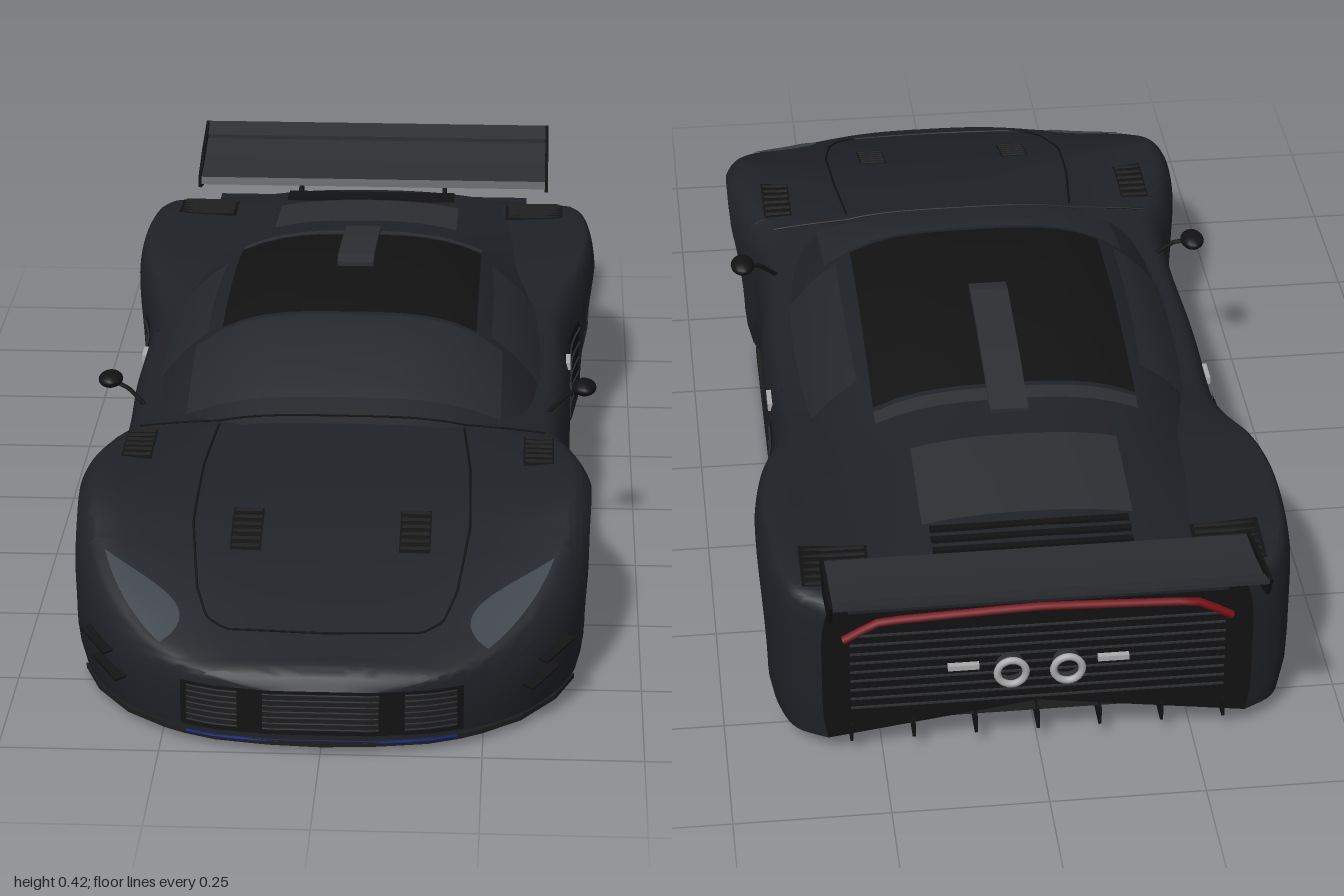
import * as THREE from 'three';
import { toCreasedNormals } from 'three/addons/utils/BufferGeometryUtils.js';

const paint = (color) => new THREE.MeshStandardMaterial({ color, side: THREE.DoubleSide });
const BODY = paint(0x1e2126), BLACK = paint(0x121213), GLASS = paint(0x24282d), GREY = paint(0x2c2e32), FLOOR = paint(0x1d1d1e),
  LAMP = paint(0x3c4349), BLUE = paint(0x14206a), RED = paint(0x7a1018), METAL = paint(0xaaaaaa);
const V = (x, y, z) => new THREE.Vector3(x, y, z);
const clamp01 = (v) => Math.min(1, Math.max(0, v));

// Body stations: z, half width, fender crest height, centre height, crest inset
const HULL = [
  [0.985, 0.08, 0.092, 0.098, 0.1], [0.97, 0.17, 0.112, 0.122, 0.1], [0.93, 0.255, 0.128, 0.14, 0.11],
  [0.88, 0.318, 0.148, 0.159, 0.12], [0.8, 0.374, 0.187, 0.189, 0.11], [0.71, 0.407, 0.232, 0.22, 0.1],
  [0.6, 0.424, 0.28, 0.252, 0.1], [0.5, 0.423, 0.289, 0.272, 0.1], [0.4, 0.403, 0.284, 0.287, 0.11],
  [0.32, 0.38, 0.276, 0.295, 0.12], [0.2, 0.377, 0.268, 0.285, 0.1], [0, 0.385, 0.266, 0.28, 0.1],
  [-0.25, 0.384, 0.272, 0.285, 0.1], [-0.35, 0.397, 0.289, 0.293, 0.09], [-0.45, 0.42, 0.306, 0.297, 0.06],
  [-0.56, 0.432, 0.313, 0.298, 0.05], [-0.7, 0.427, 0.312, 0.298, 0.05], [-0.78, 0.41, 0.305, 0.297, 0.05],
  [-0.815, 0.388, 0.297, 0.297, 0.06], [-0.84, 0.345, 0.287, 0.292, 0.06]];
const TAIL = -0.84, NOSE = 0.985;
// Cabin stations: z, half width, base height, roof height, roundness
const CABIN = [
  [0.36, 0.29, 0.26, 0.296, 3.5], [0.27, 0.325, 0.25, 0.34, 3.5], [0.15, 0.335, 0.25, 0.388, 3.5], [0.05, 0.338, 0.25, 0.404, 3.5],
  [-0.08, 0.338, 0.25, 0.409, 3.5], [-0.2, 0.335, 0.25, 0.403, 3.5], [-0.3, 0.328, 0.26, 0.39, 3.4], [-0.42, 0.32, 0.27, 0.372, 2.9],
  [-0.6, 0.32, 0.28, 0.352, 2.4], [-0.8, 0.31, 0.28, 0.325, 2.4], [-0.85, 0.3, 0.28, 0.312, 2.4]];
const ARCHES = [0.545, -0.556], R = 0.166, HUB = 0.092, WELL = 0.28;

// Smooth interpolation of a station column
function key(T, z, c) {
  let i = 0;
  while (i < T.length - 2 && z < T[i + 1][0]) i++;
  const slope = (k) => {
    const a = T[Math.max(0, k - 1)], b = T[Math.min(T.length - 1, k + 1)];
    return (b[c] - a[c]) / (b[0] - a[0]);
  };
  const h = T[i + 1][0] - T[i][0], t = clamp01((z - T[i][0]) / h), s = t * t * (3 - 2 * t);
  return T[i][c] * (1 - s) + T[i + 1][c] * s + h * (slope(i) * t * (1 - t) ** 2 - slope(i + 1) * t * t * (1 - t));
}
const bottom = (z) => {
  const a = ARCHES.find((c) => Math.abs(z - c) < R);
  if (a !== undefined) return HUB + Math.sqrt(R * R - (z - a) ** 2);
  return z < -0.7 ? 0.032 : 0.018;
};
const side = (z, y) => {
  const q = clamp01((y - key(HULL, z, 2) + 0.08) / 0.08);
  const inset = key(HULL, z, 4) * (1 - Math.sqrt(1 - q * q)) + 0.05 * clamp01((0.1 - y) / 0.1) ** 2;
  return key(HULL, z, 1) * (1 - inset);
};
const crest = (z) => key(HULL, z, 1) * (1 - key(HULL, z, 4));
const deck = (x, z) => {
  const s = clamp01(Math.abs(x) / crest(z)) ** 3;
  return key(HULL, z, 3) * (1 - s) + key(HULL, z, 2) * s;
};
const cabinY = (x, z) => {
  const t = clamp01(Math.abs(x) / key(CABIN, z, 1)), base = key(CABIN, z, 2);
  return base + (key(CABIN, z, 3) - base) * (1 - t ** key(CABIN, z, 4));
};
const topY = (x, z) => Math.max(deck(x, z), z < 0.36 && z > TAIL ? cabinY(x, z) : 0);
const frontZ = (x) => {
  let a = 0.7, b = NOSE;
  for (let i = 0; i < 20; i++) side((a + b) / 2, 0.07) > x ? (a = (a + b) / 2) : (b = (a + b) / 2);
  return a;
};

// Surface through a grid of points given by f(u, v)
function grid(us, vs, f) {
  const pos = [], idx = [], n = vs.length;
  us.forEach((u, i) => vs.forEach((v, j) => {
    pos.push(...f(u, v).toArray());
    if (i && j) {
      const a = (i - 1) * n + j - 1, b = a + n;
      idx.push(a, b, a + 1, b, b + 1, a + 1);
    }
  }));
  const g = new THREE.BufferGeometry();
  g.setAttribute('position', new THREE.Float32BufferAttribute(pos, 3));
  g.setIndex(idx);
  return toCreasedNormals(g, 0.6);
}
const range = (a, b, n) => Array.from({ length: n + 1 }, (_, i) => a + (b - a) * i / n);

export function createModel() {
  const car = new THREE.Group();
  const add = (name, geo, mat = BODY, p = [0, 0, 0], r = [0, 0, 0]) => {
    const m = new THREE.Mesh(geo, mat);
    m.name = name; m.position.set(...p); m.rotation.set(...r);
    car.add(m);
    return m;
  };
  const box = (name, s, p, mat, r) => add(name, new THREE.BoxGeometry(...s), mat, p, r);
  const curve = (pts) => new THREE.CatmullRomCurve3(pts, false, 'catmullrom', 0.1);
  const line = (name, pts, r = 0.002, mat = BLACK) => add(name, new THREE.TubeGeometry(curve(pts), pts.length * 4, r, 5), mat);
  // Seam draped over the upper surface from (x, z) points
  const topSeam = (name, pts) => line(name, curve(pts.map(([x, z]) => V(x, 0, z))).getPoints(50).map((p) => V(p.x, topY(p.x, p.z) + 0.001, p.z)));
  // Patches that follow the upper surface or the flanks
  const topPatch = (name, x0, x1, z0, z1, mat, lift = 0.003) => add(name, grid(range(z0, z1, 12), range(x0, x1, 12),
    (z, x) => V(x, topY(x, z) + lift, z)), mat);
  const sidePatch = (name, s, z0, z1, y0, y1, mat) => add(name, grid(range(z0, z1, 8), range(y0, y1, 6),
    (z, y) => V(s * (side(z, y) + 0.003), y, z)), mat);
  // Side outline (z, y) extruded across x
  const across = (name, pts, width, cx, mat) => {
    const g = new THREE.ExtrudeGeometry(new THREE.Shape(pts.map((p) => new THREE.Vector2(...p))), { depth: width, bevelEnabled: false });
    return add(name, g.rotateY(-Math.PI / 2).translate(cx + width / 2, 0, 0), mat);
  };

  // Main shell with wheel openings
  const rows = range(NOSE, TAIL, 74).concat(range(0.98, 0.93, 8), range(-0.8, -0.835, 4));
  for (const c of ARCHES) {
    for (const a of range(0, Math.PI, 24)) rows.push(c + R * Math.cos(a) * 0.9999);
    rows.push(c + R + 0.0005, c - R - 0.0005);
  }
  rows.sort((a, b) => b - a);
  const section = (z, j) => {
    const k = Math.abs(j), s = Math.sign(j);
    if (k <= 10) { const x = crest(z) * k / 10; return V(s * x, deck(x, z), z); }
    const b = bottom(z), y = b + (key(HULL, z, 2) - b) * Math.cos((k - 10) / 10 * Math.PI / 2);
    return V(s * side(z, y), y, z);
  };
  const js = range(-20, 20, 40);
  add('bodyShell', grid(rows, js, section));
  for (const [name, z, mat] of [['noseFace', NOSE, BODY], ['tailFace', TAIL, BLACK]])
    add(name, grid([0, 1], js, (u, j) => V(0, 0.08, z).lerp(section(z, j), u)), mat);

  // Cabin running back into the engine cover, glass and roof
  add('cabin', grid(range(0.36, -0.85, 50), range(-1, 1, 40), (z, u) => {
    const x = Math.sin(u * Math.PI / 2) * key(CABIN, z, 1);
    return V(x, cabinY(x, z), z);
  }));
  topPatch('windshield', -0.265, 0.265, 0.31, 0.11, GLASS);
  topPatch('roofPanel', -0.22, 0.22, 0.1, -0.37, BLACK);
  topPatch('rearBulkhead', -0.22, 0.22, -0.38, -0.41, GREY);
  topPatch('engineWindow', -0.17, 0.17, -0.5, -0.69, GREY);
  for (const z of [-0.715, -0.74, -0.765]) box('engineLouver', [0.32, 0.006, 0.012], [0, topY(0.1, z) + 0.004, z], BLACK);
  across('roofScoop', [[-0.11, 0.405], [-0.11, 0.419], [-0.14, 0.424], [-0.3, 0.403], [-0.44, 0.376], [-0.44, 0.36]], 0.064, 0, GREY);

  // Hood seams
  const hood = [[0.205, 0.36], [0.218, 0.5], [0.222, 0.66], [0.205, 0.8], [0.185, 0.86], [0.15, 0.885]];
  topSeam('hoodSeam', [...hood.map(([x, z]) => [-x, z]), [0, 0.892], ...hood.reverse()]);
  topSeam('cowlSeam', range(-0.34, 0.34, 12).map((x) => [x, 0.345]));

  // Nose intake with grilles, splitter
  const nosePanel = (name, x0, x1, y0, y1, d, mat) => add(name, grid(range(x0, x1, 16), [y0, y1],
    (x, y) => V(x, y, frontZ(Math.abs(x)) + d)), mat);
  nosePanel('intakeSurround', -0.22, 0.22, 0.026, 0.1, 0.002, BLACK);
  for (const [x0, x1] of [[-0.09, 0.09], [0.13, 0.21], [-0.21, -0.13]]) {
    nosePanel('grille', x0, x1, 0.034, 0.096, 0.004, FLOOR);
    for (const y of range(0.036, 0.094, 6)) line('grilleBar', range(x0, x1, 8).map((x) => V(x, y, frontZ(Math.abs(x)) + 0.004)), 0.0014, GREY);
  }
  const lipZ = [0.985, 0.98, 0.97, 0.95, 0.93, 0.88, 0.8, 0.72];
  const lip = [...lipZ.map((z) => [key(HULL, z, 1) * 0.97, z]).reverse(), [0, 0.99], ...lipZ.map((z) => [-key(HULL, z, 1) * 0.97, z])];
  const lipShape = new THREE.Shape(lip.map(([x, z]) => new THREE.Vector2(x, -z - 0.01)));
  add('frontSplitter', new THREE.ExtrudeGeometry(lipShape, { depth: 0.008, bevelEnabled: false }).rotateX(-Math.PI / 2), FLOOR, [0, 0.012, 0]);
  line('splitterTrim', range(-0.21, 0.21, 12).map((x) => V(x, 0.018, frontZ(Math.abs(x)) + 0.008)), 0.003, BLUE);

  // Parts mirrored on both flanks
  for (const s of [1, -1]) {
    // Lamp sweeping from the inner nose up to the outer fender
    add('headlight', grid(range(0.905, 0.735, 14), range(0, 1, 10), (z, v) => {
      const t = (0.905 - z) / 0.17, x = crest(z) * 0.995 - v * 0.075 * Math.sin(Math.PI * t ** 0.8);
      return V(s * x, deck(x, z) + 0.003, z);
    }), LAMP);
    add('sideWindow', grid(range(0.09, -0.29, 12), range(0.72, 0.975, 8), (z, t) => {
      const x = key(CABIN, z, 1) * t;
      return V(s * (x + 0.003), cabinY(x, z) + 0.002, z);
    }), GLASS);
    // Vents with slats
    for (const [name, x, z, w, l] of [['hoodVent', 0.135, 0.67, 0.05, 0.1], ['fenderVent', 0.33, 0.44, 0.05, 0.12], ['rearVent', 0.315, -0.75, 0.11, 0.1]]) {
      topPatch(name, s * x - w / 2, s * x + w / 2, z + l / 2, z - l / 2, BLACK, 0.002);
      for (const zz of range(z + l * 0.42, z - l * 0.42, 5)) box(name + 'Slat', [w * 0.9, 0.004, 0.008], [s * x, topY(x, zz) + 0.003, zz], FLOOR, [0.3, 0, 0]);
    }
    sidePatch('sideIntake', s, -0.2, -0.36, 0.08, 0.225, BLACK);
    for (const y of range(0.095, 0.21, 4)) line('intakeBar', range(-0.2, -0.36, 6).map((z) => V(s * (side(z, y) + 0.004), y, z)), 0.002, GREY);
    line('doorSeam', [[0.3, 0.262], [0.32, 0.1], [0.27, 0.04], [-0.12, 0.04], [-0.18, 0.12], [-0.17, 0.262]]
      .map(([z, y]) => V(s * side(z, y), y, z)), 0.0018);
    box('doorHandle', [0.008, 0.014, 0.045], [s * (side(-0.14, 0.225) + 0.002), 0.225, -0.14], METAL);
    box('sideSill', [0.07, 0.014, 0.74], [s * 0.345, 0.012, 0], FLOOR);
    box('sillSkid', [0.066, 0.006, 0.7], [s * 0.345, 0.003, 0], FLOOR);
    box('sillTrim', [0.004, 0.005, 0.7], [s * 0.378, 0.003, 0], BLUE);
    // Mirror on stalk
    line('mirrorStalk', [V(s * 0.345, 0.265, 0.21), V(s * 0.375, 0.292, 0.2), V(s * 0.4, 0.3, 0.19)], 0.004);
    const pod = add('mirror', new THREE.SphereGeometry(1, 16, 10), BLACK, [s * 0.406, 0.303, 0.187]);
    pod.scale.set(0.021, 0.013, 0.03);
    // Corner winglets
    for (const [z, y] of [[0.83, 0.11], [0.86, 0.078]])
      box('cornerWinglet', [0.024, 0.004, 0.075], [s * (side(z, y) + 0.004), y, z], BLACK, [0.25, -s * 0.6, 0]);
    // Wheel wells
    for (const c of ARCHES) {
      add('wheelWell', grid(range(0, Math.PI, 24), [0, 1], (a, v) => {
        const z = c + R * Math.cos(a), y = HUB + R * Math.sin(a);
        return V(s * (WELL + (side(z, y) - WELL) * v), y, z);
      }), GREY);
      add('wellWall', new THREE.CircleGeometry(R, 24, 0, Math.PI).rotateY(Math.PI / 2), GREY, [s * WELL, HUB, c]);
      box('airJack', [0.02, 0.06, 0.03], [s * 0.27, 0.07, c], METAL);
      box('jackFoot', [0.04, 0.006, 0.09], [s * 0.27, 0.04, c], GREY);
    }
    across('diffuserWall', [[-0.47, 0.03], [-0.84, 0.03], [-0.84, 0.1], [-0.5, 0.1], [-0.47, 0.07]], 0.005, s * 0.3, BLACK);
    // Wing supports and end plates
    across('wingSupport', [[-0.76, 0.315], [-0.82, 0.31], [-0.89, 0.35], [-0.85, 0.35]], 0.008, s * 0.14, BLACK);
    across('wingEndPlate', [[-0.795, 0.33], [-0.85, 0.318], [-0.975, 0.358], [-1, 0.403], [-0.88, 0.378], [-0.795, 0.35]], 0.006, s * 0.338, BLACK);
    // Exhausts
    add('exhaust', new THREE.TorusGeometry(0.023, 0.006, 8, 24), METAL, [s * 0.045, 0.155, -0.862]);
    add('exhaustPipe', new THREE.CylinderGeometry(0.023, 0.023, 0.04, 24, 1, true), GREY, [s * 0.045, 0.155, -0.845], [Math.PI / 2, 0, 0]);
    box('rearMarker', [0.05, 0.009, 0.012], [s * 0.12, 0.16, -0.844], METAL);
  }

  // Rear wing
  across('wingMainPlane', [[-0.79, 0.338], [-0.87, 0.342], [-0.955, 0.372], [-0.955, 0.381], [-0.88, 0.362], [-0.8, 0.35]], 0.67, 0, GREY);
  across('wingFlap', [[-0.96, 0.377], [-1, 0.396], [-1, 0.403], [-0.96, 0.387]], 0.67, 0, GREY);

  // Tail lights and mesh
  line('tailLight', [V(-0.31, 0.225, -0.843), V(-0.25, 0.258, -0.845), V(0, 0.268, -0.845), V(0.25, 0.258, -0.845), V(0.31, 0.225, -0.843)], 0.007, RED);
  for (const y of range(0.09, 0.23, 8)) box('tailMeshBar', [0.6, 0.003, 0.003], [0, y, -0.842], GREY);
  box('tailLip', [0.6, 0.012, 0.025], [0, 0.292, -0.845], BODY);

  // Flat floor
  const half = [[0.08, 0.98], [0.24, 0.94], [0.35, 0.8], [0.38, 0.712], [0.32, 0.68], [0.32, 0.38], [0.345, 0.37],
    [0.345, -0.38], [0.32, -0.39], [0.32, -0.46]];
  const floor = new THREE.Shape([...half, ...half.map(([x, z]) => [-x, z]).reverse()].map((p) => new THREE.Vector2(...p)));
  add('floor', new THREE.ShapeGeometry(floor).rotateX(Math.PI / 2), FLOOR, [0, 0.011, 0]);
  // Diffuser with strakes
  add('diffuser', grid([-0.46, -0.722, -0.84], [-1, 1], (z, v) => V(v * 0.32, 0.011 + (-0.46 - z) * 0.13, z)), FLOOR);
  for (const x of range(-0.3, 0.3, 6))
    across('diffuserStrake', [[-0.56, 0.024], [-0.72, 0.028], [-0.85, 0.03], [-0.85, 0.062]], 0.005, x, BLACK);
  return car;
}
